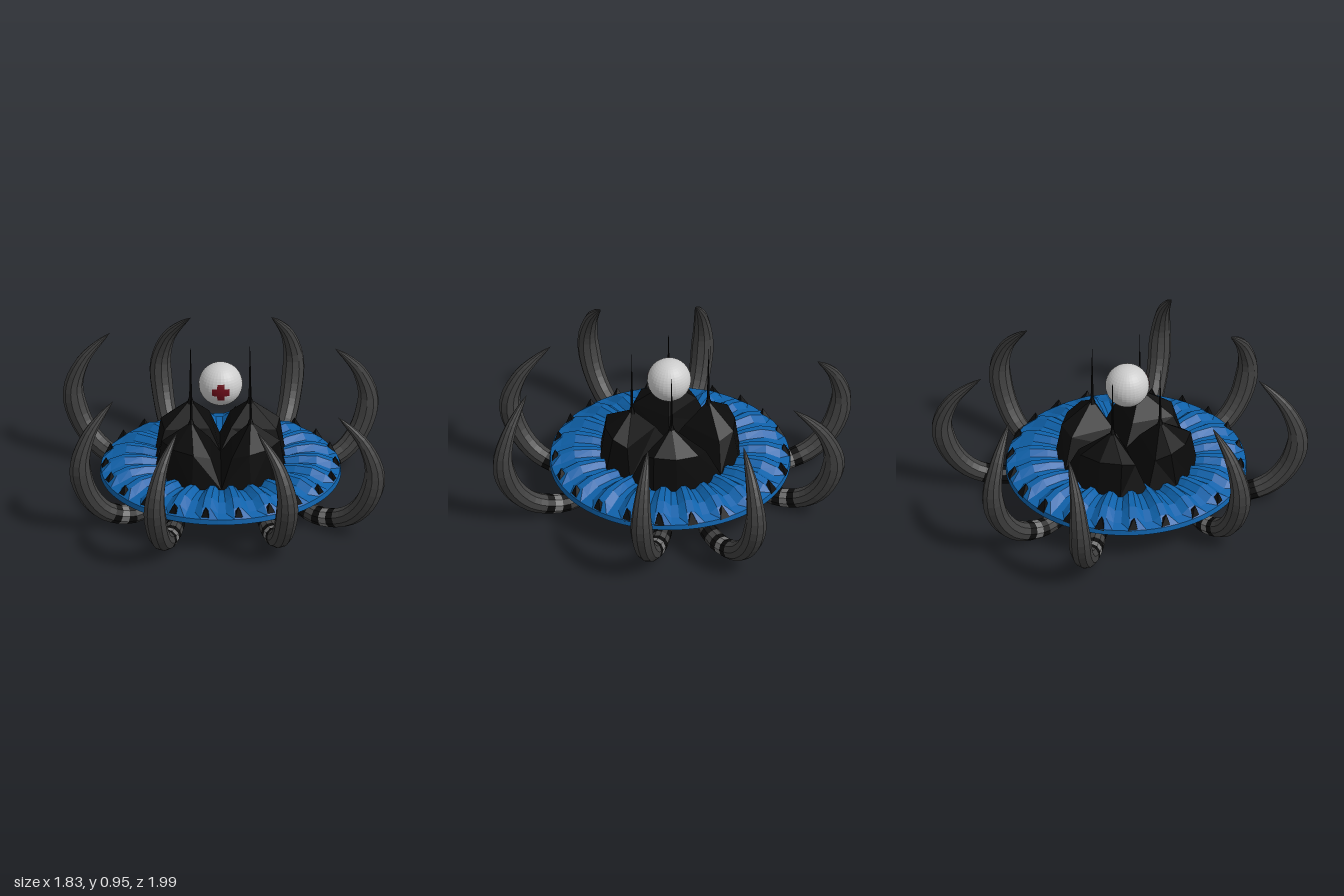
import * as THREE from 'three';

const CX = -0.02, CZ = 0.03; // axis of the disc
const mat = (color, flatShading = true) =>
  new THREE.MeshStandardMaterial({ color, flatShading, side: THREE.DoubleSide });
const BLUE = mat(0x0f62ab), BLACK = mat(0x0b0b0b), GREY = mat(0x404040);
const LIGHT = mat(0x757575), WHITE = mat(0xcccccc), RED = mat(0x6a0d18);

function add(parent, name, geometry, material, x = 0, y = 0, z = 0) {
  const mesh = new THREE.Mesh(geometry, material);
  mesh.name = name;
  mesh.position.set(x, y, z);
  parent.add(mesh);
  return mesh;
}

// Shallow dish whose upper side is pleated into radial ridges
function discGeometry() {
  const profile = [[0, 0.135], [0.4, 0.14], [0.6, 0.16], [0.69, 0.185], [0.685, 0.215],
    [0.63, 0.245], [0.55, 0.275], [0.45, 0.275], [0.3, 0.25]].map(p => new THREE.Vector2(...p));
  const g = new THREE.LatheGeometry(profile, 88, Math.PI / 88);
  const p = g.attributes.position;
  for (let i = 0; i < p.count; i++) {
    const x = p.getX(i), y = p.getY(i), z = p.getZ(i);
    if (y < 0.23) continue;
    p.setY(i, y - 0.021 * Math.cos(22 * Math.atan2(x, z)));
  }
  return g;
}

// One quarter of the central rock: two outlines joined and closed by a peak
function moundGeometry(sx, sz) {
  const low = [[0, 0.31, 0], [0.37, 0.25, 0], [0.37, 0.25, 0.17], [0.29, 0.25, 0.28],
    [0.17, 0.25, 0.37], [0, 0.25, 0.37]];
  const mid = [[0.06, 0.43, 0.06], [0.32, 0.42, 0.06], [0.34, 0.455, 0.15], [0.27, 0.45, 0.26],
    [0.16, 0.45, 0.335], [0.06, 0.42, 0.31]];
  const n = low.length, index = [];
  const points = [...low, ...mid, [0.17, 0.575, 0.145]];
  const tri = (a, b, c) => index.push(...(sx * sz > 0 ? [a, b, c] : [a, c, b]));
  for (let i = 0; i < n; i++) {
    const j = (i + 1) % n;
    tri(i, n + i, j);
    tri(j, n + i, n + j);
    tri(n + i, 2 * n, n + j);
  }
  const g = new THREE.BufferGeometry();
  g.setAttribute('position',
    new THREE.Float32BufferAttribute(points.flatMap(([x, y, z]) => [x * sx, y, z * sz]), 3));
  g.setIndex(index);
  g.computeVertexNormals();
  return g;
}

// Tapered tentacle: start and outer bend on the plan, then a hooked tip
function tentacleGeometry(start, outer, tip) {
  const at = (a, b, t, y) => new THREE.Vector3(a[0] + (b[0] - a[0]) * t, y, a[1] + (b[1] - a[1]) * t);
  const curve = new THREE.CatmullRomCurve3([
    at(start, outer, 0, 0.15), at(start, outer, 0.2, 0.09), at(start, outer, 0.42, 0.06),
    at(start, outer, 0.72, 0.115), at(start, outer, 0.92, 0.25), at(start, outer, 1, 0.43),
    at(outer, tip, 0.25, 0.6), at(outer, tip, 0.6, 0.7), at(outer, tip, 1, 0.785)]);
  const segments = 26, sides = 10;
  const g = new THREE.TubeGeometry(curve, segments, 1, sides);
  const p = g.attributes.position, v = new THREE.Vector3();
  for (let i = 0; i < p.count; i++) {
    const u = Math.floor(i / (sides + 1)) / segments;
    const c = curve.getPointAt(u);
    const r = u < 0.12 ? 0.012 + 0.04 * u / 0.12
      : u < 0.6 ? 0.052 + 0.014 * (u - 0.12) / 0.48
        : 0.066 * Math.pow((1 - u) / 0.4, 0.75);
    v.fromBufferAttribute(p, i).sub(c).multiplyScalar(r).add(c);
    p.setXYZ(i, v.x, v.y, v.z);
  }
  // Dark and pale bands near the root
  const per = sides * 6;
  for (let s = 0; s < segments; s++) {
    const band = s === 3 || s === 5 || s === 7 ? 1 : s === 6 ? 2 : 0;
    g.addGroup(s * per, per, band);
  }
  return g;
}

export function createModel() {
  const model = new THREE.Group();

  add(model, 'disc', discGeometry(), BLUE, CX, 0, CZ);

  // Ring of rim thorns
  const thorns = new THREE.Group();
  thorns.name = 'rimThorns';
  model.add(thorns);
  const thornGeo = new THREE.ConeGeometry(0.042, 0.075, 4);
  for (let k = 0; k < 22; k++) {
    const a = (k + 0.5) * Math.PI * 2 / 22;
    const t = add(thorns, 'rimThorn', thornGeo, BLACK,
      CX + 0.655 * Math.sin(a), 0.245, CZ + 0.655 * Math.cos(a));
    t.rotation.set(0.12, a + Math.PI / 4, 0);
  }

  // Four rocky mounds, each carrying a needle
  const needleGeo = new THREE.LatheGeometry([[0.022, 0.55], [0.009, 0.59], [0.006, 0.72], [0, 0.96]]
    .map(p => new THREE.Vector2(...p)), 6);
  for (const sx of [-1, 1]) for (const sz of [-1, 1]) {
    add(model, 'mound', moundGeometry(sx, sz), BLACK, CX, 0, CZ);
    add(model, 'needle', needleGeo, BLACK, CX + 0.17 * sx, 0, CZ + 0.145 * sz);
  }

  // Floating ball with a cross on its front
  add(model, 'ball', new THREE.SphereGeometry(0.126, 32, 24), WHITE, CX, 0.75, 0.037);
  for (const [w, h] of [[0.4, 0.17], [0.17, 0.4]]) {
    add(model, 'crossBar', new THREE.SphereGeometry(0.128, 8, 8,
      Math.PI / 2 - w, 2 * w, Math.PI / 2 - h, 2 * h), RED, CX, 0.75, 0.037);
  }

  // Four tentacles, repeated by a half turn
  const tentacles = [
    [[-0.24, 0.35], [-0.41, 0.935], [-0.28, 0.74]],
    [[0.2, 0.33], [0.35, 0.905], [0.18, 0.74]],
    [[0.33, 0.22], [0.855, 0.56], [0.645, 0.55]],
    [[-0.32, 0.24], [-0.83, 0.43], [-0.64, 0.33]]];
  for (const t of tentacles) {
    const g = tentacleGeometry(...t);
    for (const turn of [0, Math.PI]) {
      add(model, 'tentacle', g, [GREY, BLACK, LIGHT]).rotation.y = turn;
    }
  }
  return model;
}
